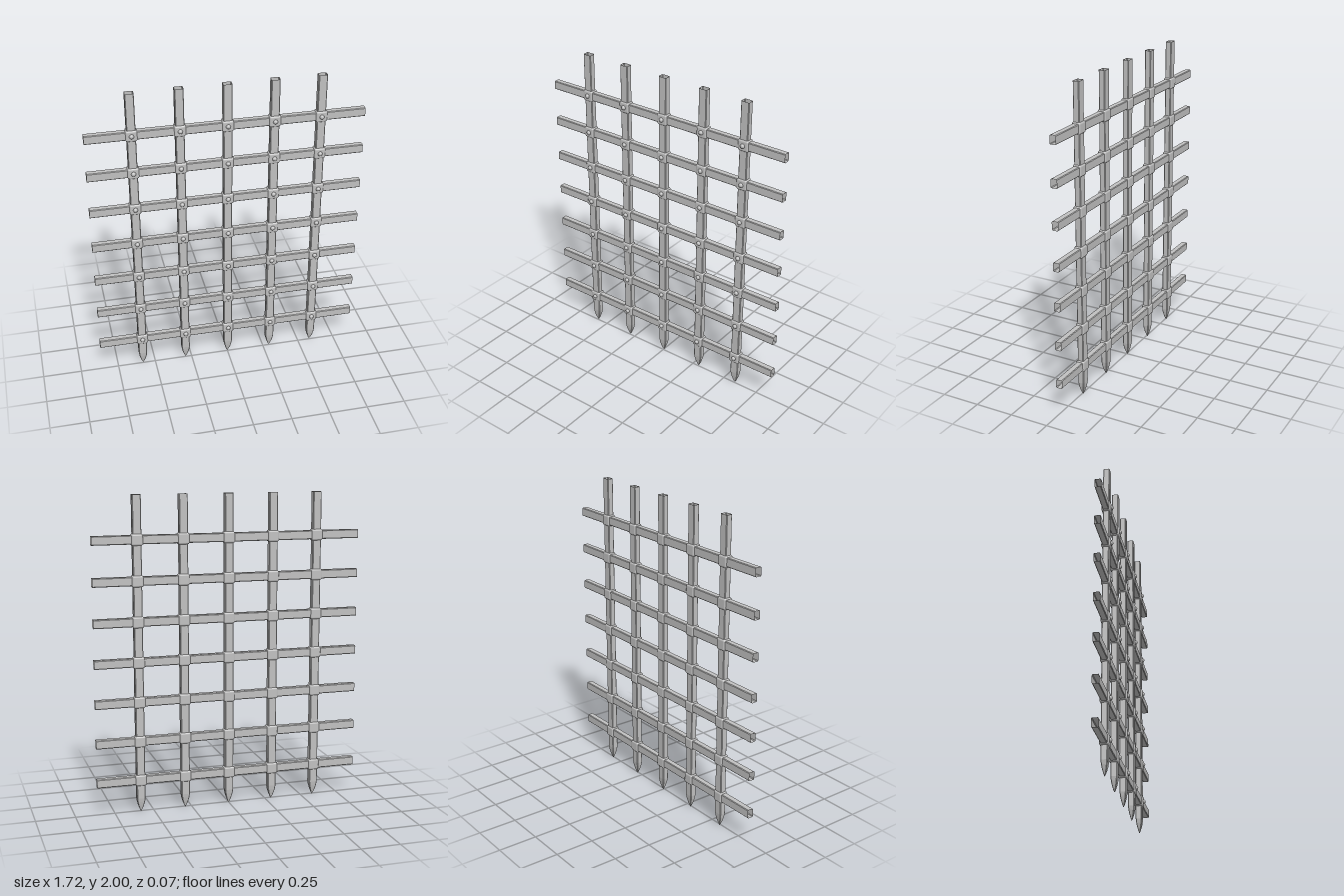
import * as THREE from 'three';
import { RoundedBoxGeometry } from 'three/addons/geometries/RoundedBoxGeometry.js';

const BAR_X = [-0.581, -0.29, 0.001, 0.292, 0.583];
const RAIL_Y = [0.21, 0.463, 0.716, 0.969, 1.222, 1.475, 1.728];
const Z = -0.007; // mid-plane of the bars

// Open-ended chamfered tube along y; each station is [y, scale of section]
function chamferedTube(width, depth, chamfer, stations) {
  const w = width / 2, d = depth / 2, c = chamfer;
  const section = [
    [w, -d + c], [w, d - c], [w - c, d], [-w + c, d],
    [-w, d - c], [-w, -d + c], [-w + c, -d], [w - c, -d],
  ];
  const n = section.length;
  const positions = [], index = [];
  for (const [y, s] of stations) {
    for (const [x, z] of section) positions.push(x * s, y, z * s);
  }
  for (let r = 0; r < stations.length - 1; r++) {
    for (let i = 0; i < n; i++) {
      const a = r * n + i, b = r * n + (i + 1) % n;
      index.push(a, a + n, b, b, a + n, b + n);
    }
  }
  const indexed = new THREE.BufferGeometry();
  indexed.setAttribute('position', new THREE.Float32BufferAttribute(positions, 3));
  indexed.setIndex(index);
  const geometry = indexed.toNonIndexed(); // flat facets
  geometry.computeVertexNormals();
  return geometry;
}

export function createModel() {
  const model = new THREE.Group();
  model.name = 'portcullis';
  const iron = new THREE.MeshStandardMaterial({ color: 0xc0c0c0, side: THREE.DoubleSide });
  iron.name = 'iron grey';

  function add(name, geometry, x, y, z) {
    const mesh = new THREE.Mesh(geometry, iron);
    mesh.name = name;
    mesh.position.set(x, y, z);
    model.add(mesh);
  }

  // Upright bars with a curved spike at the foot
  const uprightGeometry = chamferedTube(0.055, 0.04, 0.004, [
    [0, 0.02], [0.015, 0.3], [0.04, 0.62], [0.065, 0.86], [0.09, 1], [2, 1],
  ]);
  for (const x of BAR_X) add('uprightBar', uprightGeometry, x, 0, Z);

  // Horizontal rails
  const railGeometry = chamferedTube(0.055, 0.04, 0.004, [[-0.862, 1], [0.862, 1]]);
  railGeometry.rotateZ(Math.PI / 2);
  for (const y of RAIL_Y) add('crossRail', railGeometry, 0, y, Z);

  // Collar and front rivet at every crossing
  const collarGeometry = new RoundedBoxGeometry(0.072, 0.072, 0.056, 2, 0.012);
  const rivetGeometry = new THREE.SphereGeometry(0.015, 12, 8);
  for (const x of BAR_X) {
    for (const y of RAIL_Y) {
      add('collar', collarGeometry, x, y, Z);
      add('rivet', rivetGeometry, x, y, 0.02);
    }
  }
  return model;
}
